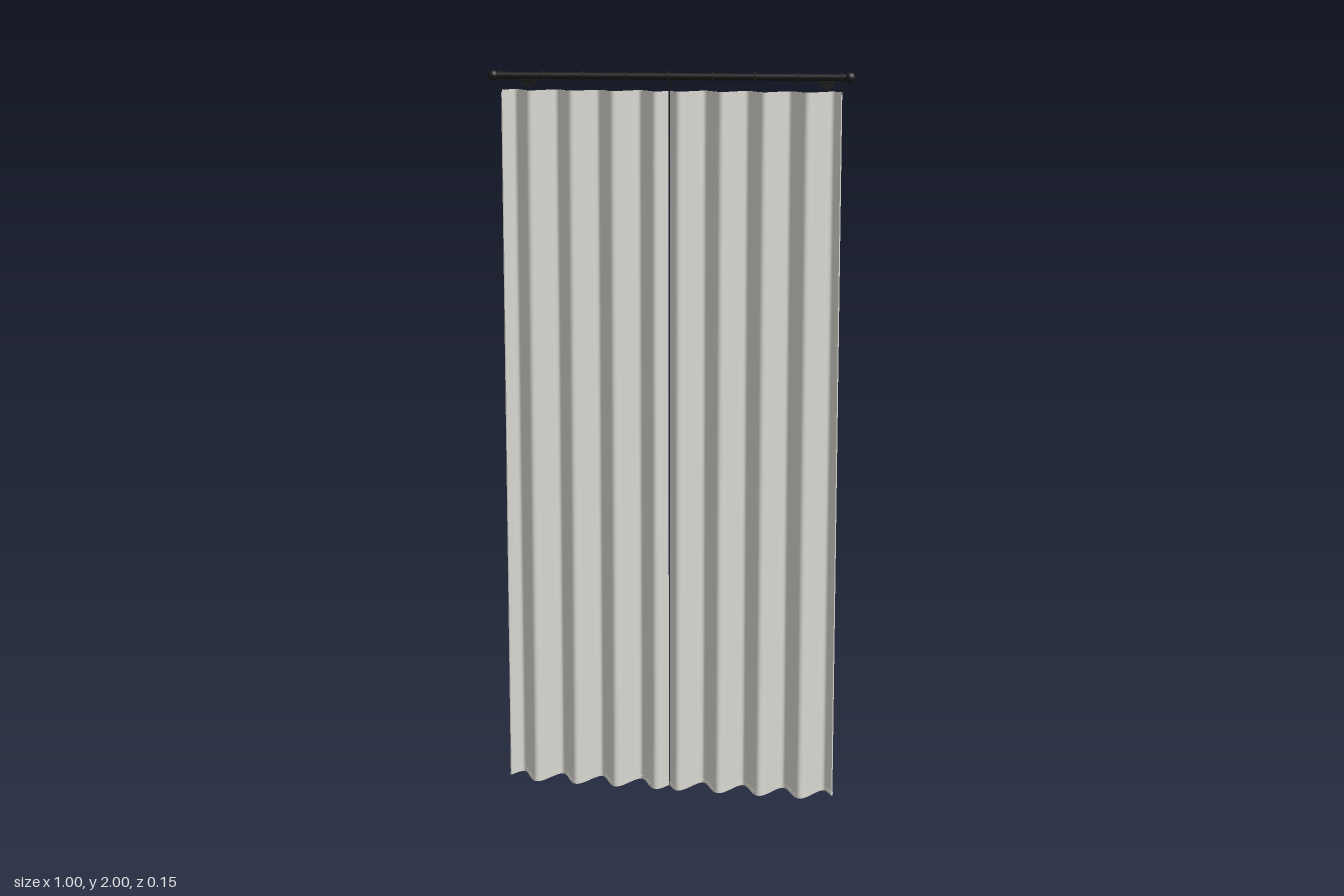
import * as THREE from 'three';

const ROD_Y = 1.9855, ROD_Z = 0.03;
const OUTER = 0.463, INNER = 0.003, PLEATS = 4;
const PERIOD = (OUTER - INNER) / PLEATS;
const TOP = 1.947;

export function createModel() {
  const fabric = new THREE.MeshStandardMaterial({ color: 0xd9d7d0 });
  fabric.name = 'pale linen';
  const metal = new THREE.MeshStandardMaterial({ color: 0x1a1a1c });
  metal.name = 'black metal';

  const model = new THREE.Group();
  model.name = 'curtains';
  const add = (name, geometry, material, x, y, z, parent = model) => {
    const mesh = new THREE.Mesh(geometry, material);
    mesh.name = name;
    mesh.position.set(x, y, z);
    parent.add(mesh);
    return mesh;
  };

  // Pleated cloth: a thin slab bent into a wave that widens slightly downwards
  const pleated = (side, y0, y1, thickness, rows) => {
    const geometry = new THREE.BoxGeometry(OUTER - INNER, y1 - y0, 1, 128, rows, 1);
    geometry.translate(side * (OUTER + INNER) / 2, (y0 + y1) / 2, 0);
    const p = geometry.attributes.position;
    const k = 2 * Math.PI / PERIOD;
    for (let i = 0; i < p.count; i++) {
      const x = p.getX(i), y = p.getY(i), half = p.getZ(i) * thickness;
      const amp = 0.039 - 0.003 * y / TOP;
      const phase = k * (OUTER - Math.abs(x));
      const slope = side * amp * k * Math.cos(phase);
      const len = Math.hypot(1, slope);
      p.setX(i, x - half * slope / len);
      p.setZ(i, ROD_Z - amp * Math.sin(phase) + half / len);
    }
    geometry.computeVertexNormals();
    return geometry;
  };

  // Rod
  const rod = new THREE.CylinderGeometry(0.0095, 0.0095, 0.96, 20).rotateZ(Math.PI / 2);
  add('rod', rod, metal, 0, ROD_Y, ROD_Z);

  const finial = new THREE.SphereGeometry(0.0145, 20, 14);
  const ring = new THREE.TorusGeometry(0.0135, 0.002, 8, 24).rotateY(Math.PI / 2);
  const hook = new THREE.CylinderGeometry(0.0012, 0.0012, 0.032, 6);
  const arm = new THREE.CylinderGeometry(0.0045, 0.0045, 0.104, 12).rotateX(Math.PI / 2);
  const plate = new THREE.CylinderGeometry(0.0225, 0.0225, 0.006, 24).rotateX(Math.PI / 2);

  for (const side of [-1, 1]) {
    const label = side > 0 ? 'left' : 'right';
    add(label + 'Finial', finial, metal, side * 0.4855, ROD_Y, ROD_Z);

    // Wall bracket
    const bracket = new THREE.Group();
    bracket.name = label + 'Bracket';
    model.add(bracket);
    add('bracketArm', arm, metal, side * 0.412, 1.9715, -0.02, bracket);
    add('wallPlate', plate, metal, side * 0.412, 1.9715, -0.073, bracket);

    // Curtain panel with its hem
    const panel = new THREE.Group();
    panel.name = label + 'Panel';
    model.add(panel);
    add('cloth', pleated(side, 0.004, TOP, 0.003, 10), fabric, 0, 0, 0, panel);
    add('hem', pleated(side, 0, 0.01, 0.005, 1), fabric, 0, 0, 0, panel);

    // Rings and hooks, one at each pleat
    for (let i = 0; i <= PLEATS; i++) {
      const x = side * (INNER + i * PERIOD);
      add('ring', ring, metal, x, ROD_Y, ROD_Z, panel);
      add('hook', hook, metal, x, 1.957, ROD_Z, panel);
    }
  }
  return model;
}
